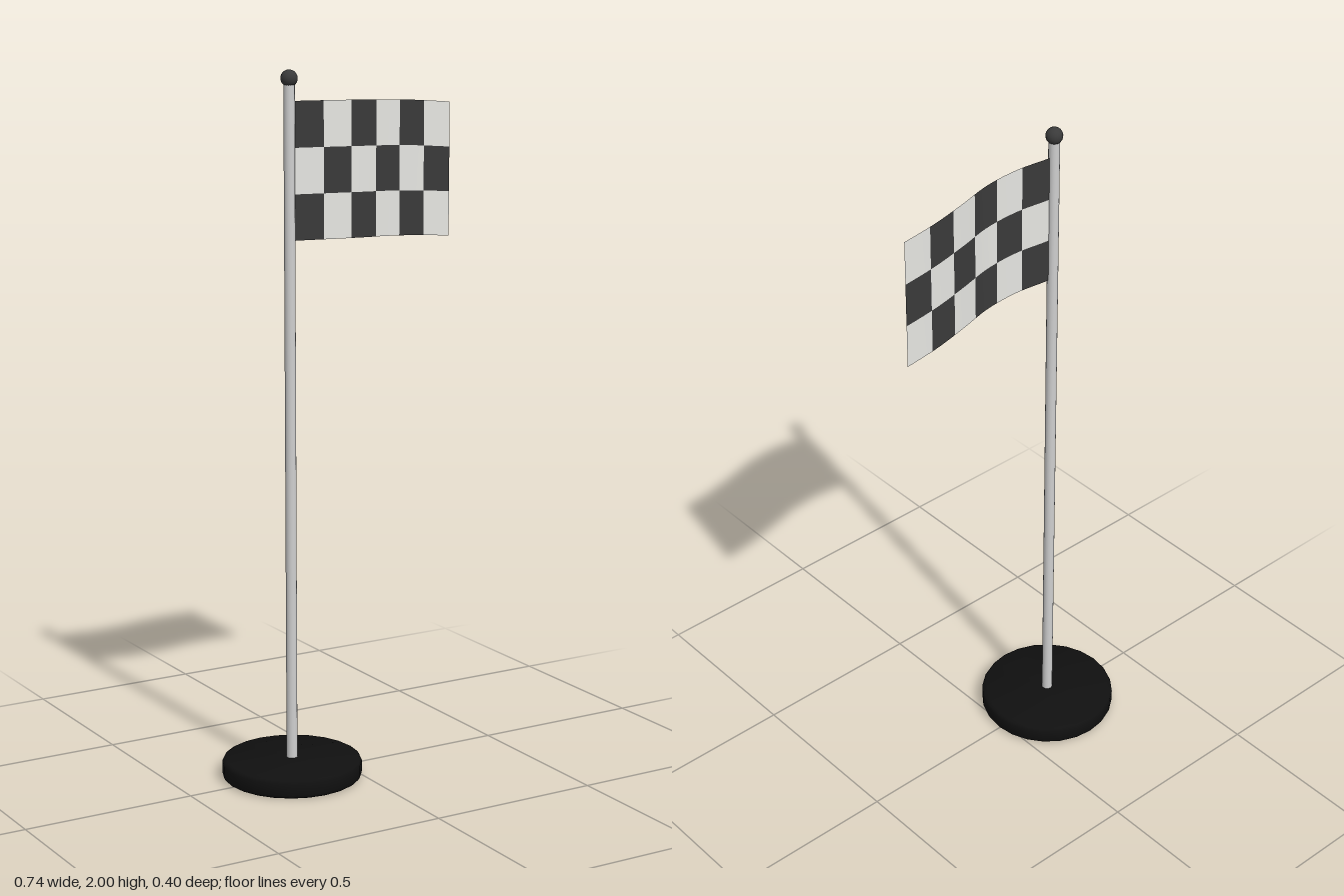
import * as THREE from 'three';
import { mergeGeometries, toCreasedNormals } from 'three/addons/utils/BufferGeometryUtils.js';

const POLE_X = -0.174;
const FLAG = { left: -0.16, top: 1.915, width: 0.527, height: 0.38, cols: 6, rows: 3 };

function material(name, color, side = THREE.FrontSide) {
  const m = new THREE.MeshStandardMaterial({ color, side });
  m.name = name;
  return m;
}

function addMesh(group, name, geometry, mat) {
  const mesh = new THREE.Mesh(geometry, mat);
  mesh.name = name;
  group.add(mesh);
  return mesh;
}

// Depth of the cloth along its length (t from 0 at the pole to 1 at the free end)
const wave = new THREE.SplineCurve([
  [0, 0], [0.2, 0.012], [0.4, 0.008], [0.6, -0.014], [0.8, -0.031], [1, -0.036],
].map(([t, z]) => new THREE.Vector2(t, z)));

// One checker square, bent to follow the wave and sagging toward the free end
function flagCell(col, row) {
  const w = FLAG.width / FLAG.cols, h = FLAG.height / FLAG.rows;
  const g = new THREE.PlaneGeometry(w, h, 4, 1);
  g.translate((col + 0.5) * w, -(row + 0.5) * h, 0);
  const p = g.attributes.position;
  for (let i = 0; i < p.count; i++) {
    const t = THREE.MathUtils.clamp(p.getX(i) / FLAG.width, 0, 1);
    p.setXYZ(i, FLAG.left + p.getX(i), FLAG.top + p.getY(i) - 0.026 * t * t, wave.getPoint(t).y);
  }
  g.computeVertexNormals();
  return g;
}

export function createModel() {
  const model = new THREE.Group();
  model.name = 'checkeredFlagOnStand';

  const baseBlack = material('base black', 0x101010);
  const poleGrey = material('pole grey', 0xcfcfcf);
  const knobGrey = material('knob dark grey', 0x3a3a3a);
  const clothWhite = material('cloth white', 0xe6e6e2, THREE.DoubleSide);
  const clothDark = material('cloth dark', 0x3a3a3a, THREE.DoubleSide);

  // Round weighted base with bevelled rims
  const profile = [[0, 0], [0.188, 0], [0.195, 0.004], [0.199, 0.012],
    [0.199, 0.045], [0.195, 0.053], [0.188, 0.057], [0, 0.057]]
    .map(([r, y]) => new THREE.Vector2(r, y));
  const base = addMesh(model, 'base',
    toCreasedNormals(new THREE.LatheGeometry(profile, 24), 0.7), baseBlack);
  base.position.x = POLE_X;

  // Slim pole and the ball on top
  const pole = addMesh(model, 'pole', new THREE.CylinderGeometry(0.0155, 0.0155, 1.92, 16), poleGrey);
  pole.position.set(POLE_X, 1.01, 0);
  const knob = addMesh(model, 'knob', new THREE.SphereGeometry(0.0235, 20, 14), knobGrey);
  knob.position.set(POLE_X, 1.9765, 0);

  // Checkered cloth, dark square at the top corner by the pole
  const cells = [[], []];
  for (let row = 0; row < FLAG.rows; row++)
    for (let col = 0; col < FLAG.cols; col++)
      cells[(row + col) % 2].push(flagCell(col, row));
  const flag = new THREE.Group();
  flag.name = 'flag';
  addMesh(flag, 'darkSquares', mergeGeometries(cells[0]), clothDark);
  addMesh(flag, 'whiteSquares', mergeGeometries(cells[1]), clothWhite);
  model.add(flag);

  return model;
}
